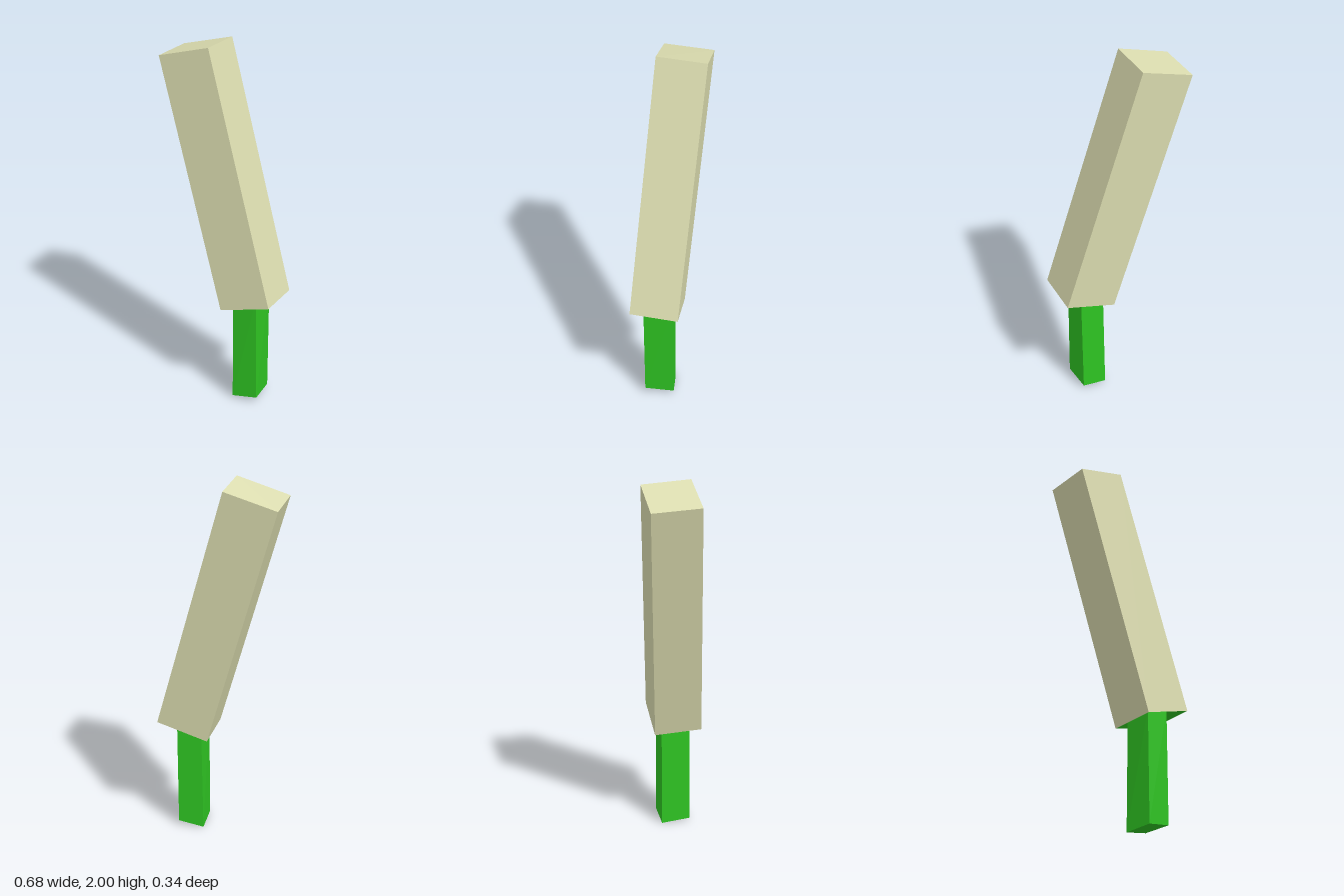
import * as THREE from 'three';

const corner = (x, y, z) => new THREE.Vector3(x, y, z);

// Rings of four corners, ordered: right back, left back, left front, right front
const stemBottom = [corner(0.09, 0, -0.045), corner(0.23, 0.025, -0.06), corner(0.245, 0.033, 0.1), corner(0.105, 0.012, 0.115)];
const stemTop = [corner(0.1, 0.62, -0.045), corner(0.235, 0.655, -0.055), corner(0.24, 0.665, 0.105), corner(0.105, 0.63, 0.112)];
const headTop = [corner(-0.342, 1.903, -0.16), corner(-0.062, 1.983, -0.172), corner(-0.055, 2, 0.086), corner(-0.335, 1.918, 0.098)];
const lean = corner(0.395, -1.34, 0.072);
const headBottom = headTop.map((p) => p.clone().add(lean));

// Joins two rings with four flat sides, with optional end caps
function loft(lower, upper, { bottom = false, top = false } = {}) {
  const points = [];
  for (let i = 0; i < 4; i++) {
    const j = (i + 1) % 4;
    points.push(lower[i], upper[i], lower[j], upper[i], upper[j], lower[j]);
  }
  if (bottom) points.push(...[0, 1, 2, 0, 2, 3].map((i) => lower[i]));
  if (top) points.push(...[0, 2, 1, 0, 3, 2].map((i) => upper[i]));
  const geometry = new THREE.BufferGeometry().setFromPoints(points);
  geometry.computeVertexNormals();
  return geometry;
}

export function createModel() {
  const group = new THREE.Group();
  group.name = 'cattail';
  const green = new THREE.MeshStandardMaterial({ name: 'stemGreen', color: 0x2ec322 });
  const cream = new THREE.MeshStandardMaterial({ name: 'headCream', color: 0xdcddb0 });

  const add = (name, geometry, material) => {
    const mesh = new THREE.Mesh(geometry, material);
    mesh.name = name;
    group.add(mesh);
  };

  // Stem, slightly recessed green underside, and leaning head
  add('stem', loft(stemBottom, stemTop, { bottom: true }), green);
  add('headUnderside', loft(stemTop, headBottom), green);
  add('head', loft(headBottom, headTop, { top: true }), cream);
  return group;
}
